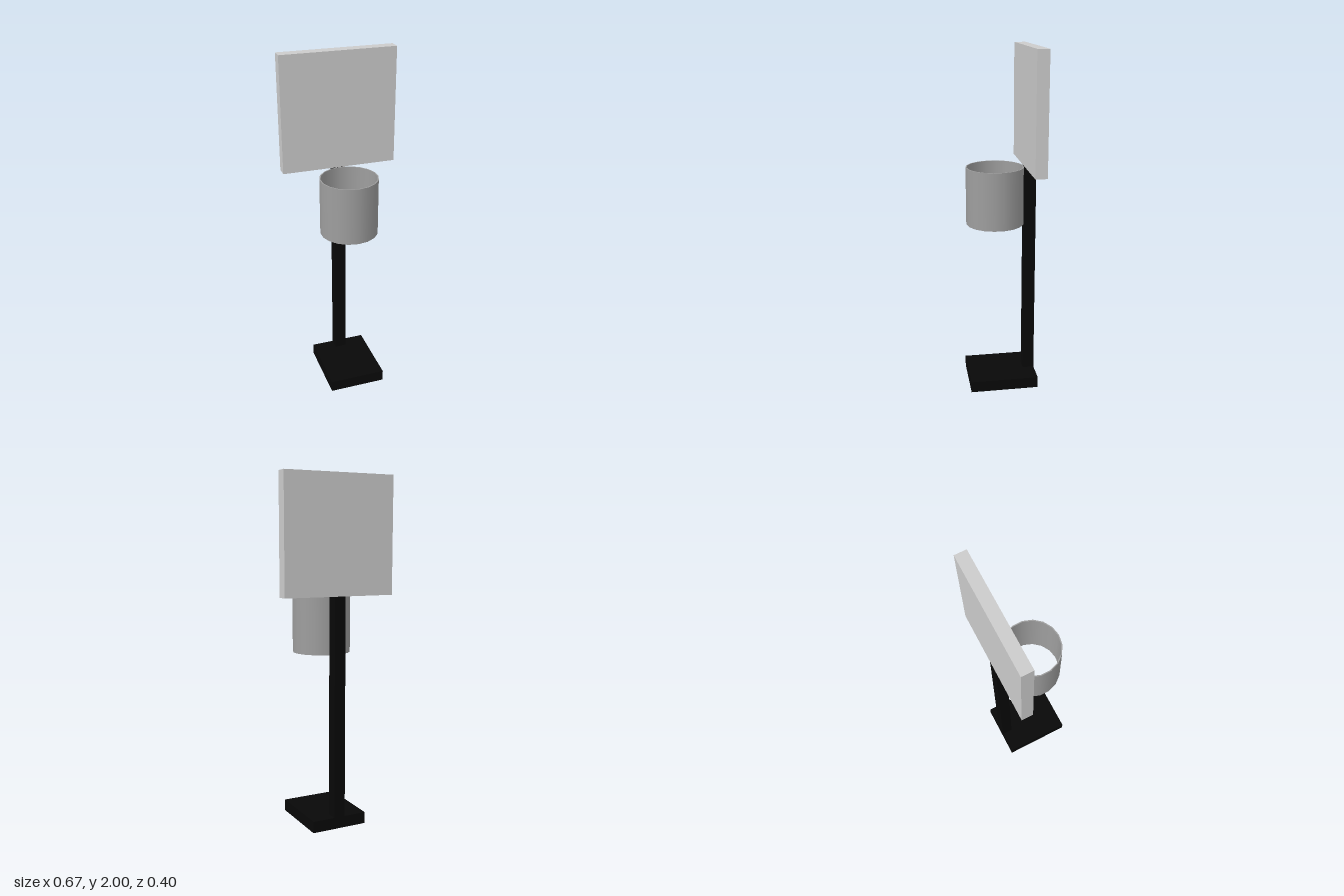
import * as THREE from 'three';
import { mergeGeometries } from 'three/addons/utils/BufferGeometryUtils.js';

const U = 1 / 15; // module size: post thickness, base height, board depth
const SIDES = 18;

// Open tube with wall thickness, centred on the origin, smooth round its walls
function tubeGeometry(outer, inner, height) {
  const wall = r => new THREE.CylinderGeometry(r, r, height, SIDES, 1, true);
  const innerWall = wall(inner);
  const index = innerWall.index.array;
  for (let i = 0; i < index.length; i += 3) {
    [index[i], index[i + 1]] = [index[i + 1], index[i]];
  }
  const normals = innerWall.attributes.normal.array;
  for (let i = 0; i < normals.length; i++) normals[i] *= -1;
  const rim = side => new THREE.RingGeometry(inner, outer, SIDES, 1, Math.PI / 2)
    .rotateX(-side * Math.PI / 2).translate(0, side * height / 2, 0);
  return mergeGeometries([wall(outer), innerWall, rim(1), rim(-1)]);
}

export function createModel() {
  const model = new THREE.Group();
  const black = new THREE.MeshStandardMaterial({ color: 0x080808 });
  const grey = new THREE.MeshStandardMaterial({ color: 0xcccccc });
  const darkGrey = new THREE.MeshStandardMaterial({ color: 0x9e9e9e });

  const add = (name, geometry, material, x, y, z) => {
    const mesh = new THREE.Mesh(geometry, material);
    mesh.name = name;
    mesh.position.set(x, y, z);
    model.add(mesh);
  };

  const backZ = -2.5 * U; // shared centre line of post and board

  // Base plate with the post standing flush at its back edge
  add('base', new THREE.BoxGeometry(5 * U, U, 6 * U), black, 0, U / 2, 0);
  add('post', new THREE.BoxGeometry(U, 19 * U, U), black, 0, 10.5 * U, backZ);

  // Square board on top of the post
  add('board', new THREE.BoxGeometry(10 * U, 10 * U, U), grey, 0, 25 * U, backZ);

  // Open hoop fixed to the front of the post
  add('hoop', tubeGeometry(2.5 * U, 2.4 * U, 5 * U), darkGrey, 0, 17.5 * U, U / 2);

  return model;
}
